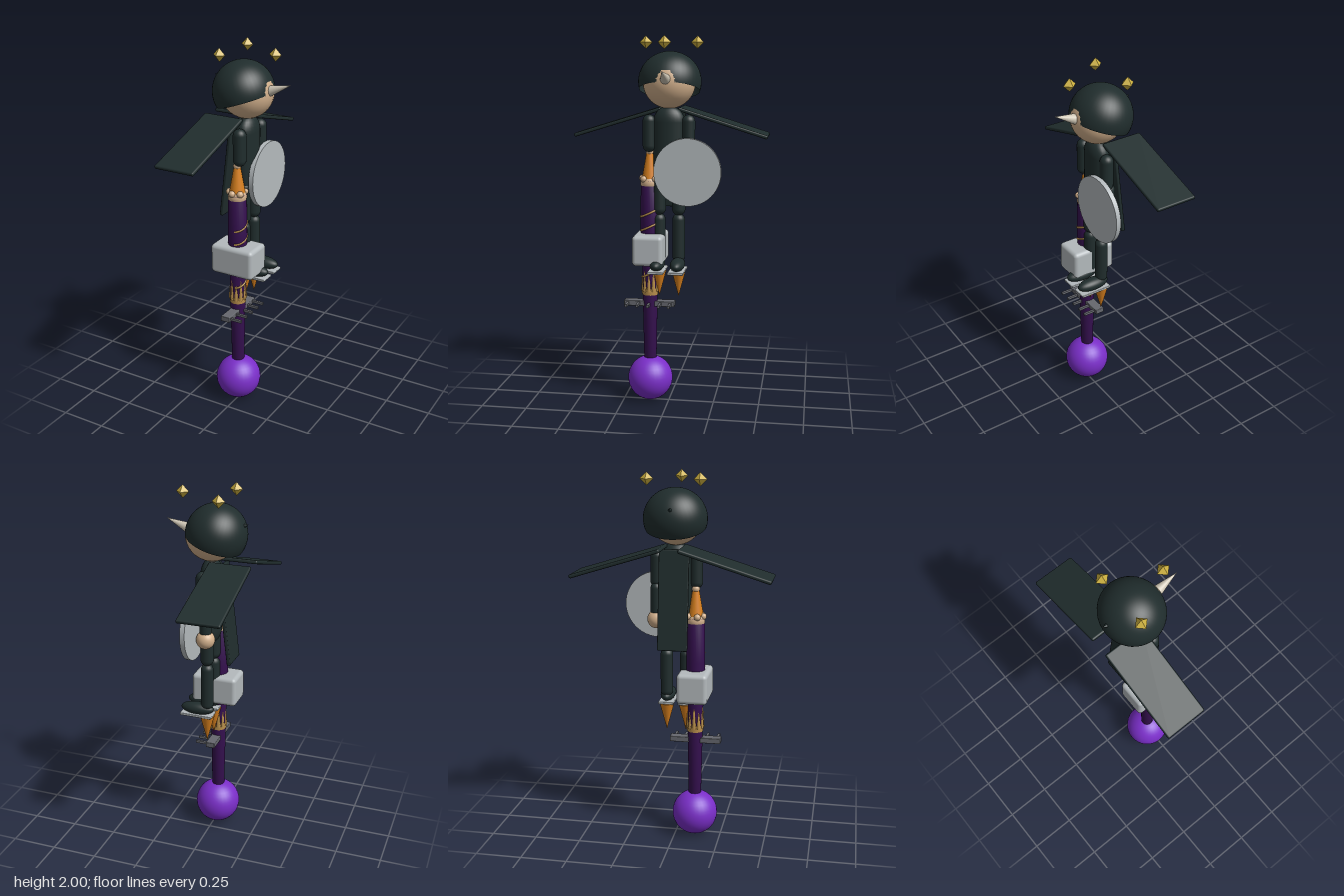
import * as THREE from 'three';
import { RoundedBoxGeometry } from 'three/addons/geometries/RoundedBoxGeometry.js';

const material = (name, color, side = THREE.FrontSide) => {
  const m = new THREE.MeshStandardMaterial({ color, side });
  m.name = name;
  return m;
};

export function createModel() {
  const model = new THREE.Group();
  const dark = material('dark cloth', 0x202d2d, THREE.DoubleSide);
  const skin = material('skin', 0xd2b08c);
  const steel = material('light steel', 0xb4babd);
  const iron = material('iron', 0x66686e);
  const shaftPurple = material('deep purple', 0x35104f);
  const orbPurple = material('bright purple', 0x7a2ec8);
  const orange = material('orange', 0xd9811f);
  const tan = material('tan trim', 0xb98f4c);
  const gold = material('gold', 0xcdb040);
  const bone = material('bone', 0xcdc5b4);

  const X = -0.015, STAFF_Z = 0.106;

  function add(name, geometry, mat, x, y, z, parent = model) {
    const mesh = new THREE.Mesh(geometry, mat);
    mesh.name = name;
    mesh.position.set(x, y, z);
    parent.add(mesh);
    return mesh;
  }
  const ball = (r) => new THREE.SphereGeometry(r, 32, 20);
  // Capsule spanning from y0 to y1
  const limb = (name, r, y0, y1, x, z) =>
    add(name, new THREE.CapsuleGeometry(r, y1 - y0 - 2 * r, 8, 20), dark, x, (y0 + y1) / 2, z);
  // Cone whose tip points along (dx, dy) in the side plane
  function spike(name, r, from, to, mat) {
    const dir = new THREE.Vector3(to[0] - from[0], to[1] - from[1], 0);
    const mesh = add(name, new THREE.ConeGeometry(r, dir.length(), 20), mat,
      (from[0] + to[0]) / 2, (from[1] + to[1]) / 2, 0);
    mesh.quaternion.setFromUnitVectors(new THREE.Vector3(0, 1, 0), dir.normalize());
  }

  // Head, tilted open hood, horn and hood point
  add('head', ball(0.14), skin, X, 1.76, 0);
  const hood = add('hood', new THREE.SphereGeometry(0.168, 40, 24, 0, Math.PI * 2, 0, 1.87),
    dark, -0.037, 1.76, 0);
  hood.scale.set(0.95, 0.95, 1);
  hood.rotation.z = 0.33;
  spike('horn', 0.03, [0.105, 1.775], [0.235, 1.822], bone);
  spike('hoodPoint', 0.022, [-0.155, 1.805], [-0.208, 1.826], dark);

  // Floating crown gems
  for (let i = 0; i < 3; i++) {
    const a = i * Math.PI * 2 / 3;
    add('crownGem', new THREE.OctahedronGeometry(0.035), gold,
      X + 0.16 * Math.cos(a), 1.965, 0.16 * Math.sin(a));
  }

  // Torso and cape
  const torso = add('torso', new THREE.CapsuleGeometry(0.085, 0.3, 8, 24), dark, -0.01, 1.4, 0);
  torso.scale.x = 0.62;
  const cape = add('cape', new RoundedBoxGeometry(0.02, 0.53, 0.16, 2, 0.006), dark, -0.102, 1.34, 0);
  cape.rotation.z = -0.118;

  // Mirrored wings, arms and legs
  for (const s of [1, -1]) {
    const wing = add('wing', new RoundedBoxGeometry(0.226, 0.02, 0.497, 2, 0.008), dark,
      -0.127, 1.545, s * 0.284);
    wing.rotation.x = s * 0.3;

    limb('upperArm', 0.035, 1.39, 1.59, 0, s * 0.106);
    add('hand', ball(0.05), skin, X, 1.22, s * 0.106);

    limb('thigh', 0.036, 1.05, 1.29, -0.005, s * 0.053);
    limb('shin', 0.034, 0.79, 1.06, -0.005, s * 0.053);
    const boot = add('boot', ball(1), dark, 0.05, 0.79, s * 0.055);
    boot.scale.set(0.093, 0.034, 0.04);
    add('footPlate', new RoundedBoxGeometry(0.18, 0.014, 0.085, 2, 0.004), steel,
      0.05, 0.757, s * 0.054);
    const jet = add('jetFlame', new THREE.ConeGeometry(0.04, 0.15, 20), orange, -0.005, 0.675, s * 0.053);
    jet.rotation.x = Math.PI;
  }
  limb('forearm', 0.032, 1.22, 1.42, X, -0.106);

  // Round shield
  const shield = add('shield', new THREE.CylinderGeometry(0.18, 0.18, 0.026, 48), steel, 0.046, 1.29, -0.106);
  shield.rotation.z = Math.PI / 2;

  // Staff shaft with bottom orb
  const staff = new THREE.Group();
  staff.name = 'staff';
  staff.position.set(X, 0, STAFF_Z);
  model.add(staff);
  add('orb', ball(0.124), orbPurple, 0.002, 0.126, 0, staff);
  const profile = [[0, 0.22], [0.034, 0.22], [0.041, 0.6], [0.044, 0.8], [0.052, 1.0], [0.048, 1.235], [0, 1.235]];
  add('shaft', new THREE.LatheGeometry(profile.map((p) => new THREE.Vector2(...p)), 24),
    shaftPurple, 0, 0, 0, staff);

  // Flame finial with knuckles around its base
  add('finial', new THREE.CylinderGeometry(0.016, 0.044, 0.16, 24), orange, 0, 1.315, 0, staff);
  add('finialTip', ball(0.021), skin, 0, 1.39, 0, staff);
  for (const a of [0.7, 1.75, 2.8, 4.1, 5.4]) {
    add('knuckle', ball(0.018), skin, 0.042 * Math.cos(a), 1.245, 0.042 * Math.sin(a), staff);
  }

  // Tan spikes rising from a band on the lower shaft
  add('trimBand', new THREE.CylinderGeometry(0.045, 0.044, 0.035, 24), tan, 0, 0.622, 0, staff);
  for (let i = 0; i < 10; i++) {
    const a = i * Math.PI / 5;
    const h = i % 2 ? 0.2 : 0.15;
    add('trimSpike', new THREE.ConeGeometry(0.0125, h, 8), tan,
      0.038 * Math.cos(a), 0.625 + h / 2, 0.038 * Math.sin(a), staff);
  }

  // Slanted tan wraps on the face side of the shaft
  for (const y of [1.06, 0.985, 0.725]) {
    const r = y > 0.9 ? 0.05 : 0.044;
    const points = [];
    for (let i = 0; i <= 8; i++) {
      const a = -1.4 + i * 0.35;
      points.push(new THREE.Vector3(r * Math.cos(a), y - 0.024 * Math.sin(a), r * Math.sin(a)));
    }
    add('wrap', new THREE.TubeGeometry(new THREE.CatmullRomCurve3(points), 20, 0.006, 6), tan, 0, 0, 0, staff);
  }

  // Hammer block and toothed bar
  add('block', new RoundedBoxGeometry(0.252, 0.165, 0.165, 4, 0.022), steel, 0.002, 0.867, -0.003, staff);
  add('toothedBar', new RoundedBoxGeometry(0.052, 0.03, 0.28, 2, 0.004), iron, 0.002, 0.555, 0.002, staff);
  for (const z of [-0.115, -0.06, 0, 0.06, 0.12]) {
    add('tooth', new THREE.BoxGeometry(0.075, 0.014, 0.013), iron, 0.055, 0.555, z, staff);
  }

  return model;
}
